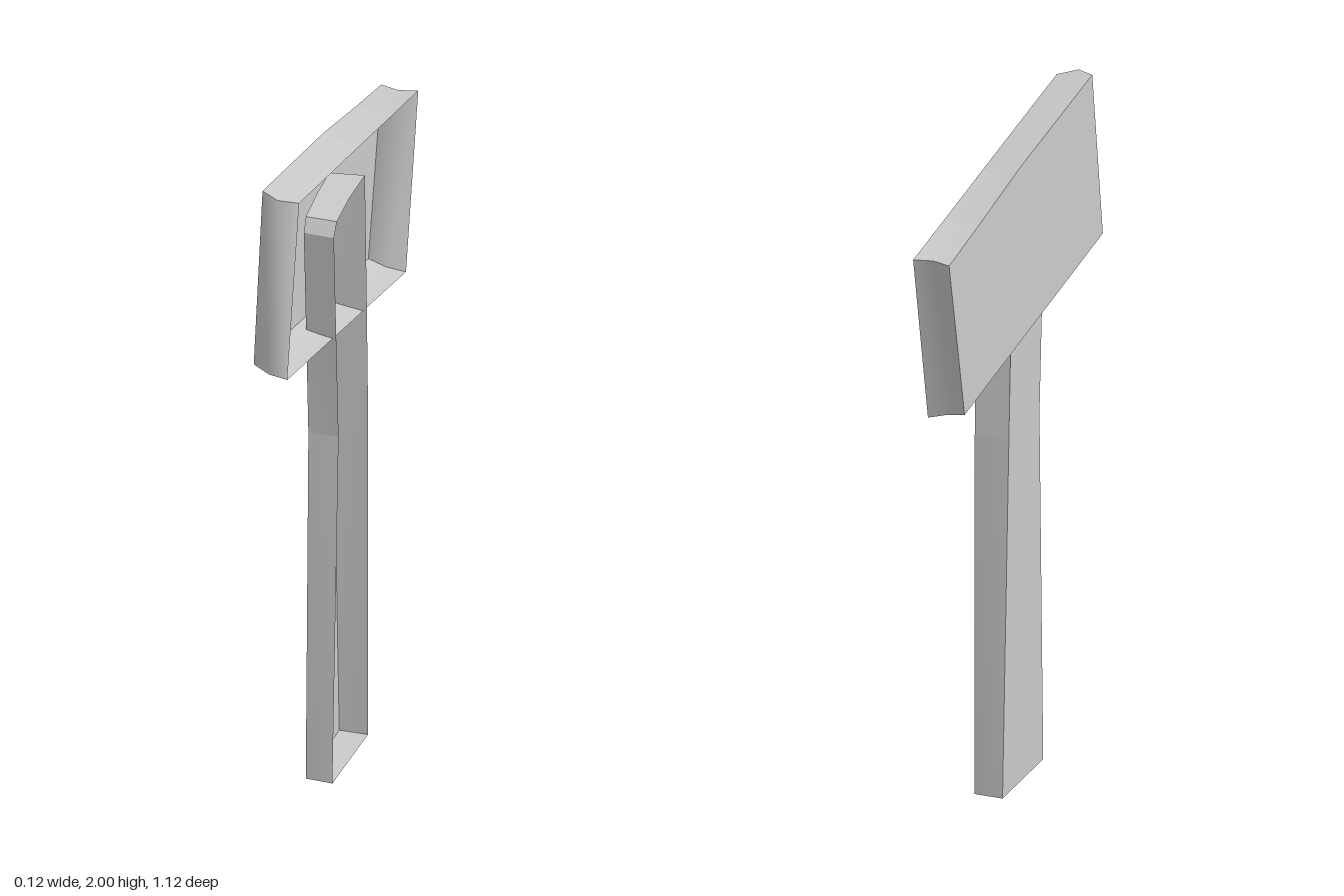
import * as THREE from 'three';
import { mergeGeometries } from 'three/addons/utils/BufferGeometryUtils.js';

const material = new THREE.MeshStandardMaterial({ color: 0xcccccc, side: THREE.DoubleSide });

function surface(points, index) {
  const g = new THREE.BufferGeometry();
  g.setAttribute('position', new THREE.Float32BufferAttribute(points.flat(), 3));
  g.setIndex(index);
  g.computeVertexNormals();
  return g;
}

// Open tray: a closing plate on the first outline, then one wall per outline edge
// running through all outlines towards +x. Every wall keeps its own normals.
function tray(name, outlines) {
  const first = outlines[0];
  const contour = first.map(([, y, z]) => new THREE.Vector2(z, y));
  const parts = [surface(first, THREE.ShapeUtils.triangulateShape(contour, []).flat())];
  first.forEach((_, i) => {
    const j = (i + 1) % first.length;
    const points = [], index = [];
    outlines.forEach((o, s) => {
      points.push(o[i], o[j]);
      if (s) {
        const a = 2 * s - 2;
        index.push(a, a + 1, a + 3, a, a + 3, a + 2);
      }
    });
    parts.push(surface(points, index));
  });
  const mesh = new THREE.Mesh(mergeGeometries(parts), material);
  mesh.name = name;
  return mesh;
}

export function createModel() {
  const group = new THREE.Group();

  // Head: tilted tray, bulged at the front end and hollowed at the back end.
  // Corners: front bottom, back bottom, back top, two bends of the top, front top
  group.add(tray('head', [
    [[-0.06, 1.485, 0.53], [-0.06, 1.32, -0.45], [-0.06, 1.82, -0.56],
      [-0.06, 1.86, -0.35], [-0.06, 1.92, -0.06], [-0.06, 2, 0.455]],
    [[-0.005, 1.478, 0.56], [-0.005, 1.308, -0.442], [-0.005, 1.82, -0.545],
      [-0.005, 1.856, -0.35], [-0.005, 1.91, -0.06], [-0.005, 1.995, 0.485]],
    [[0.05, 1.47, 0.56], [0.05, 1.295, -0.455], [0.05, 1.82, -0.56],
      [0.05, 1.853, -0.35], [0.05, 1.9, -0.06], [0.05, 1.982, 0.458]],
  ]));

  // Handle: tall tray with a waist, its top rounded towards the front
  group.add(tray('handle', [
    [[-0.02, 0, 0.2], [-0.025, 0, -0.1], [-0.038, 1.1, -0.085], [-0.04, 1.36, -0.078],
      [-0.04, 1.8, -0.057], [-0.035, 1.795, 0.06], [-0.032, 1.775, 0.165],
      [-0.03, 1.735, 0.188], [-0.03, 1.4, 0.168], [-0.028, 1.08, 0.155]],
    [[0.06, 0, 0.203], [0.06, 0, -0.102], [0.06, 1.1, -0.1], [0.06, 1.36, -0.092],
      [0.06, 1.8, -0.075], [0.06, 1.795, 0.06], [0.06, 1.775, 0.165],
      [0.06, 1.735, 0.19], [0.06, 1.4, 0.17], [0.06, 1.08, 0.15]],
  ]));

  return group;
}
